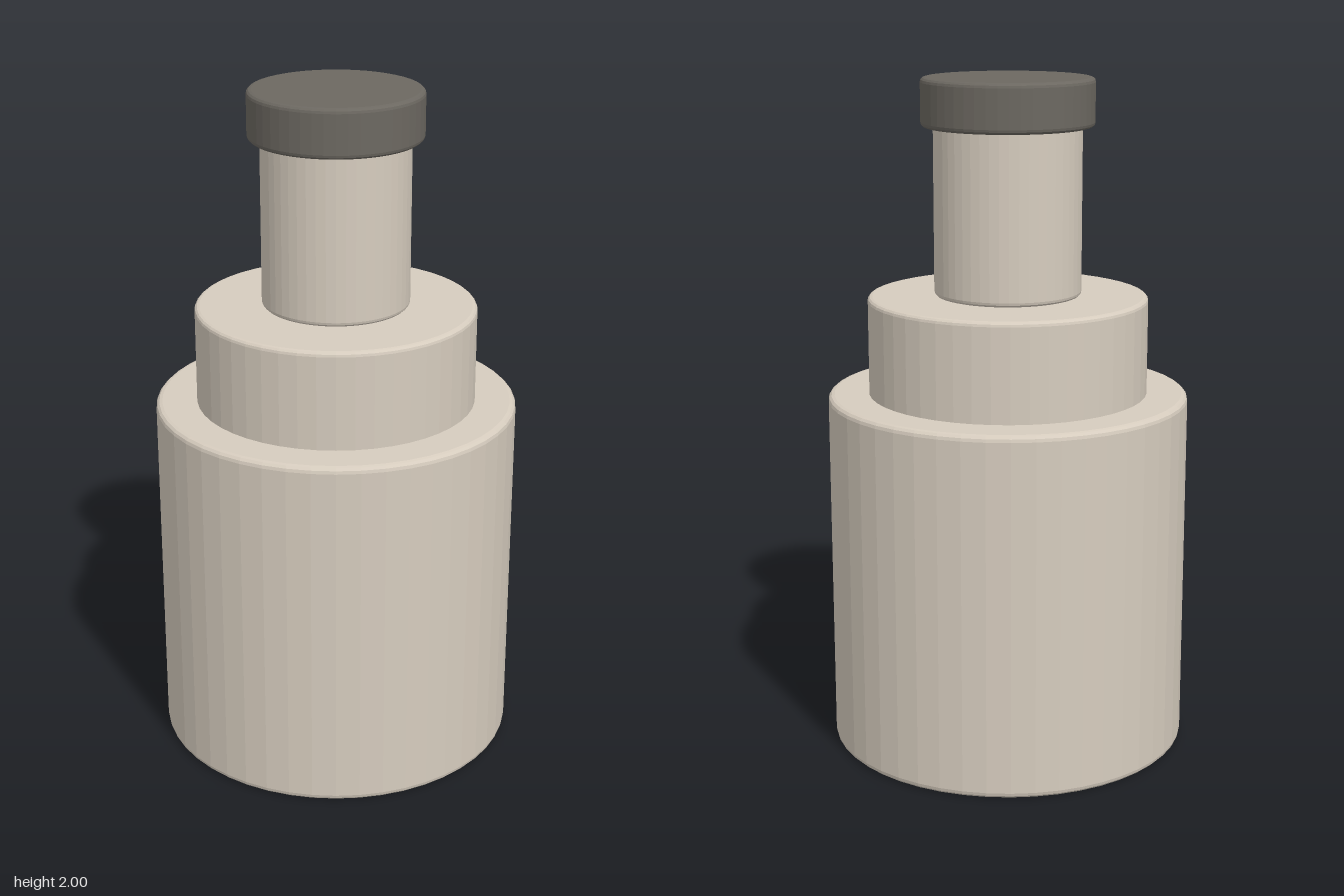
import * as THREE from 'three';

const SIDES = 48;

// Upright solid cylinder from y0 to y1 with rounded rims
function roundedCylinder(name, radius, y0, y1, bevel, material) {
  const points = [new THREE.Vector2(0, y0)];
  const steps = 3;
  for (let i = 0; i <= steps; i++) {
    const a = (i / steps) * Math.PI / 2;
    points.push(new THREE.Vector2(radius - bevel + bevel * Math.sin(a), y0 + bevel - bevel * Math.cos(a)));
  }
  for (let i = 0; i <= steps; i++) {
    const a = (i / steps) * Math.PI / 2;
    points.push(new THREE.Vector2(radius - bevel + bevel * Math.cos(a), y1 - bevel + bevel * Math.sin(a)));
  }
  points.push(new THREE.Vector2(0, y1));
  const mesh = new THREE.Mesh(new THREE.LatheGeometry(points, SIDES), material);
  mesh.name = name;
  return mesh;
}

export function createModel() {
  const beige = new THREE.MeshStandardMaterial({ color: 0xd6ccbe, flatShading: true });
  beige.name = 'warm beige';
  const charcoal = new THREE.MeshStandardMaterial({ color: 0x6c6861, flatShading: true });
  charcoal.name = 'charcoal';

  const model = new THREE.Group();
  model.name = 'steppedCylinder';
  model.add(
    roundedCylinder('body', 0.535, 0, 1.075, 0.018, beige),
    roundedCylinder('shoulder', 0.414, 1.055, 1.366, 0.014, beige),
    roundedCylinder('neck', 0.217, 1.366, 1.87, 0.014, beige),
    roundedCylinder('cap', 0.253, 1.858, 2, 0.014, charcoal),
  );
  return model;
}
